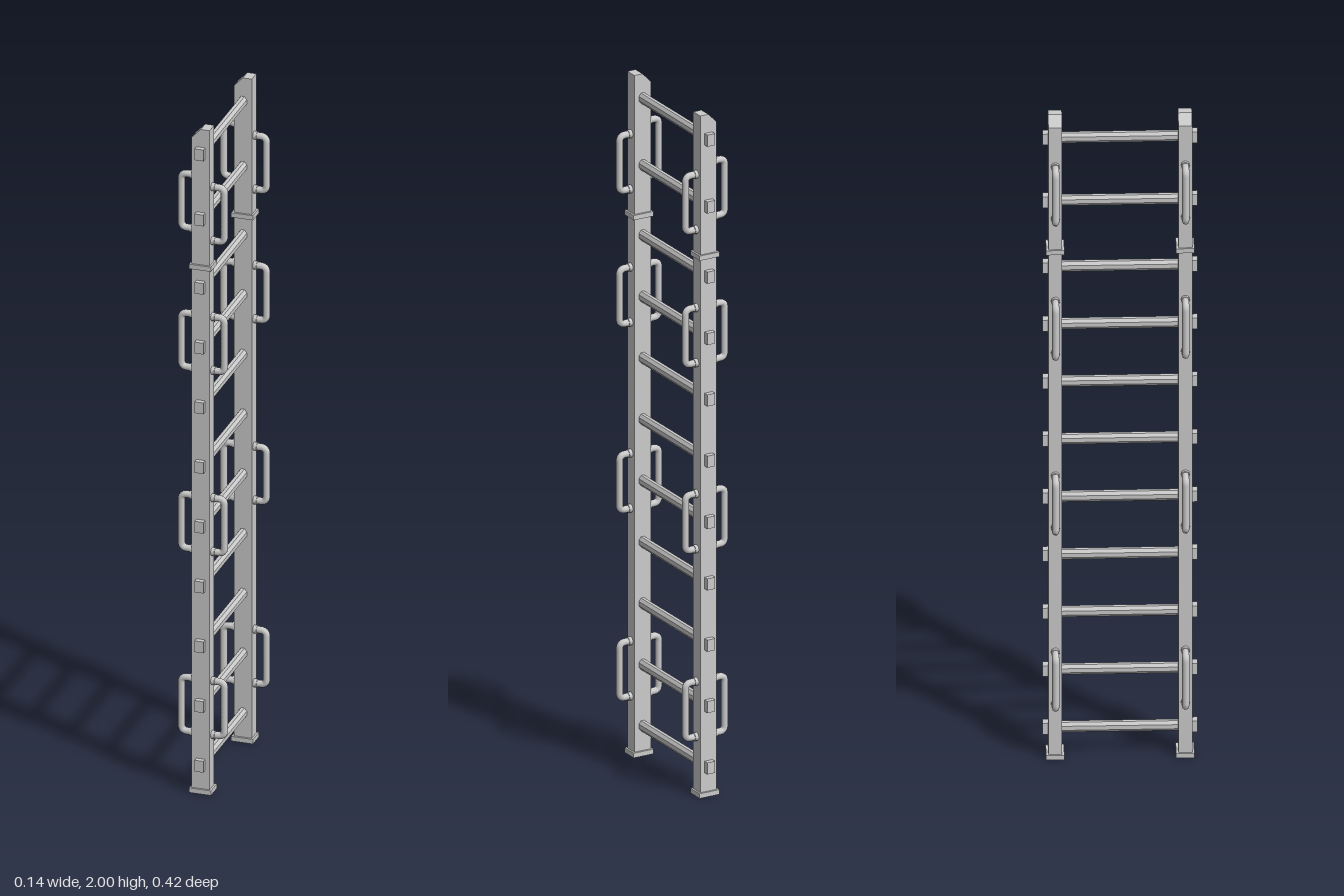
import * as THREE from 'three';

const RAIL_Z = 0.178, RAIL_HALF_X = 0.026, RAIL_DEPTH = 0.038;
const material = new THREE.MeshStandardMaterial({ color: 0xcccccc });
const facetedMaterial = new THREE.MeshStandardMaterial({ color: 0xcccccc, flatShading: true });

function addMesh(parent, name, geometry, x, y, z, mat = material) {
  const mesh = new THREE.Mesh(geometry, mat);
  mesh.name = name;
  mesh.position.set(x, y, z);
  parent.add(mesh);
  return mesh;
}

// Flat bar with one top corner cut off at a slant
function railGeometry() {
  const w = RAIL_HALF_X;
  const shape = new THREE.Shape([
    [-w, 0], [w, 0], [w, 2], [0, 2], [-w, 1.973],
  ].map(([x, y]) => new THREE.Vector2(x, y)));
  return new THREE.ExtrudeGeometry(shape, { depth: RAIL_DEPTH, bevelEnabled: false })
    .translate(0, 0, -RAIL_DEPTH / 2);
}

// U-shaped grip with rounded corners, pointing to +x, centred on y = 0
function gripGeometry() {
  const inner = 0.02, outer = 0.062, h = 0.081, r = 0.016;
  const v = (x, y) => new THREE.Vector3(x, y, 0);
  const path = new THREE.CurvePath();
  path.add(new THREE.LineCurve3(v(inner, -h), v(outer - r, -h)));
  path.add(new THREE.QuadraticBezierCurve3(v(outer - r, -h), v(outer, -h), v(outer, -h + r)));
  path.add(new THREE.LineCurve3(v(outer, -h + r), v(outer, h - r)));
  path.add(new THREE.QuadraticBezierCurve3(v(outer, h - r), v(outer, h), v(outer - r, h)));
  path.add(new THREE.LineCurve3(v(outer - r, h), v(inner, h)));
  return new THREE.TubeGeometry(path, 48, 0.01, 10);
}

export function createModel() {
  const ladder = new THREE.Group();
  ladder.name = 'ladder';

  const rail = railGeometry();
  const band = new THREE.BoxGeometry(0.063, 0.014, 0.05);
  const grip = gripGeometry();
  const flange = new THREE.CylinderGeometry(0.012, 0.012, 0.012, 10).rotateZ(Math.PI / 2);

  // Side rails with feet, joint bands and grips on both edges
  const gripHeights = [0.254, 0.805, 1.351];
  for (const side of [1, -1]) {
    const group = new THREE.Group();
    group.name = side > 0 ? 'frontRail' : 'backRail';
    group.position.z = side * RAIL_Z;
    ladder.add(group);
    addMesh(group, 'rail', rail, 0, 0, 0);
    addMesh(group, 'foot', band, 0, 0.007, 0);
    addMesh(group, 'jointBand', band, 0, 1.585, 0);

    for (const edge of [1, -1]) {
      for (const y of [...gripHeights, edge > 0 ? 1.742 : 1.771]) {
        const handle = new THREE.Group();
        handle.name = 'handle';
        handle.position.y = y;
        handle.rotation.y = edge > 0 ? 0 : Math.PI;
        group.add(handle);
        addMesh(handle, 'grip', grip, 0, 0, 0);
        for (const end of [1, -1]) addMesh(handle, 'gripFlange', flange, 0.03, end * 0.081, 0);
      }
    }
  }

  // Rungs: oval faceted bars whose square ends poke through the rails
  const rung = new THREE.CylinderGeometry(1, 1, 2 * RAIL_Z, 8)
    .rotateY(Math.PI / 8).rotateX(Math.PI / 2).scale(0.0125, 0.0165, 1);
  const peg = new THREE.BoxGeometry(0.025, 0.034, 0.034);
  const rungHeights = Array.from({ length: 9 }, (_, i) => 0.087 + i * 0.18).concat(1.733, 1.929);
  for (const y of rungHeights) {
    addMesh(ladder, 'rung', rung, 0, y, 0, facetedMaterial);
    for (const side of [1, -1]) addMesh(ladder, 'rungEnd', peg, 0, y, side * 0.195);
  }
  return ladder;
}
